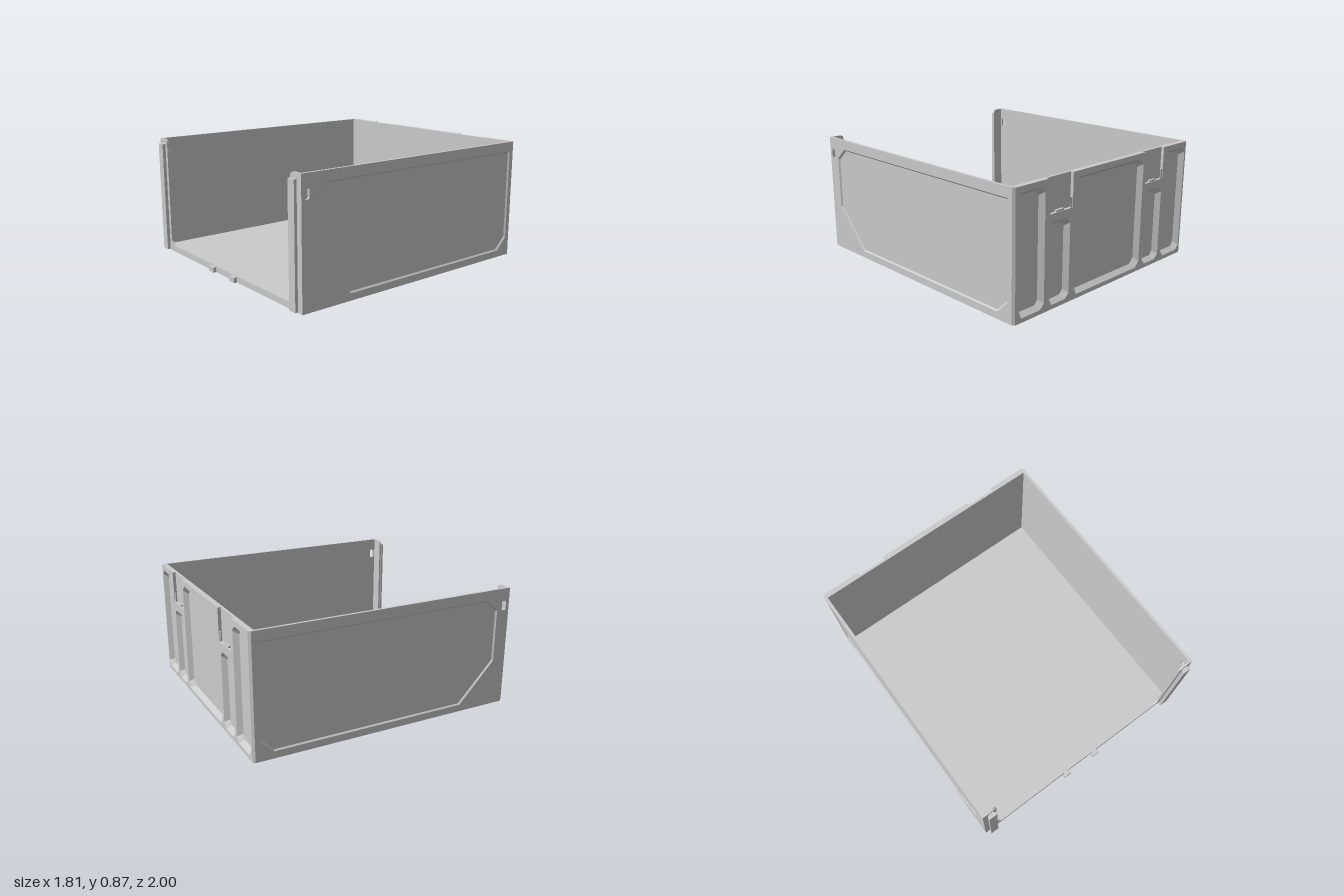
import * as THREE from 'three';

const W = 0.905, H = 0.87, BACK = -1, FRONT = 0.97;

export function createModel() {
  const group = new THREE.Group();
  const mat = new THREE.MeshStandardMaterial({ color: 0xcccccc, flatShading: true });
  const thinMat = new THREE.MeshStandardMaterial({ color: 0xcccccc, flatShading: true, side: THREE.DoubleSide });

  const add = (name, geo, x = 0, y = 0, z = 0, m = mat) => {
    const mesh = new THREE.Mesh(geo, m);
    mesh.name = name;
    mesh.position.set(x, y, z);
    group.add(mesh);
    return mesh;
  };
  // box given by its limits
  const block = (name, x0, x1, y0, y1, z0, z1) =>
    add(name, new THREE.BoxGeometry(x1 - x0, y1 - y0, z1 - z0), (x0 + x1) / 2, (y0 + y1) / 2, (z0 + z1) / 2);
  const vec = (pts) => pts.map(([x, y]) => new THREE.Vector2(x, y));
  const extrude = (pts, depth, holes = []) => {
    const shape = new THREE.Shape(vec(pts));
    holes.forEach((h) => shape.holes.push(new THREE.Path(vec(h))));
    return new THREE.ExtrudeGeometry(shape, { depth, bevelEnabled: false });
  };
  // rectangle with cut corners
  const cutRect = (x0, x1, y0, y1, c) => [
    [x0 + c, y0], [x1 - c, y0], [x1, y0 + c], [x1, y1 - c],
    [x1 - c, y1], [x0 + c, y1], [x0, y1 - c], [x0, y0 + c],
  ];
  // outline shrunk by s on every side
  const inset = (pts, s) => {
    const box = new THREE.Box2().setFromPoints(vec(pts));
    const c = box.getCenter(new THREE.Vector2()), d = box.getSize(new THREE.Vector2());
    return pts.map(([x, y]) => [
      c.x + (x - c.x) * (1 - (2 * s) / d.x),
      c.y + (y - c.y) * (1 - (2 * s) / d.y),
    ]);
  };
  // sloping walls of a recess between the rim (z0) and its floor (z1)
  const slopes = (pts, s, z0, z1) => {
    const inner = inset(pts, s), pos = [];
    pts.forEach((a, i) => {
      const j = (i + 1) % pts.length;
      const A = [...a, z0], B = [...pts[j], z0], C = [...inner[j], z1], D = [...inner[i], z1];
      pos.push(...A, ...C, ...B, ...A, ...D, ...C);
    });
    const g = new THREE.BufferGeometry();
    g.setAttribute('position', new THREE.Float32BufferAttribute(pos, 3));
    g.computeVertexNormals();
    return g;
  };
  // cross-section in x and z, standing from y0 to y1
  const upright = (name, pts, y0, y1) =>
    add(name, extrude(pts, y1 - y0).rotateX(Math.PI / 2), 0, y1, 0);

  // Floor
  block('floor', -0.895, 0.895, 0, 0.03, -0.97, 0.96);

  // Side walls: inner sheet, outer frame around a sunken panel, slot near the front
  const wall = [[-0.985, 0], [0.955, 0], [0.955, H], [-0.985, H]];
  const slot = cutRect(0.91, 0.946, 0.71, 0.78, 0.008);
  const panel = [
    [0.59, 0.05], [0.87, 0.34], [0.87, 0.72], [0.78, 0.8],
    [-0.95, 0.8], [-0.95, 0.14], [-0.86, 0.05],
  ];
  for (const s of [1, -1]) {
    const side = s > 0 ? 'left' : 'right', t = 0.01;
    const turn = (g) => g.rotateY(-Math.PI / 2);
    const xOut = s > 0 ? W : -W + t;
    add(side + 'WallFrame', turn(extrude(wall, t, [panel, slot])), xOut);
    add(side + 'WallSheet', turn(extrude(wall, t, [slot])), xOut - s * t);
    add(side + 'PanelEdge', turn(slopes(panel, 0.01, 0, s * t)), s * W, 0, 0, thinMat);
    // chamfered rear corner
    upright(side + 'RearCorner', [[s * 0.89, BACK], [s * W, -0.985], [s * 0.89, -0.985]], 0, H);
  }

  // Back wall: plain inner sheet, and an outer layer with pockets and two top notches
  const depth = 0.035, zFloor = BACK + depth;
  block('backSheet', -0.89, 0.89, 0, H, zFloor, -0.96);
  const n0 = 0.38, n1 = 0.605, nY = 0.64;
  const outline = [
    [-0.89, 0], [0.89, 0], [0.89, H], [n1, H], [n1, nY], [n0, nY], [n0, H],
    [-n0, H], [-n0, nY], [-n1, nY], [-n1, H], [-0.89, H],
  ];
  const pockets = [cutRect(-0.365, 0.365, 0.03, 0.83, 0.04)];
  for (const s of [1, -1]) {
    for (const [a, b, top] of [[0.4, 0.6, 0.58], [0.635, 0.875, 0.83]]) {
      pockets.push(cutRect(Math.min(s * a, s * b), Math.max(s * a, s * b), 0.03, top, 0.035));
    }
  }
  add('backFrame', extrude(outline, depth, pockets), 0, 0, BACK);
  pockets.forEach((p) => add('pocketSlope', slopes(p, 0.026, BACK, zFloor), 0, 0, 0, thinMat));

  // Notch floors, with guide ribs and a small catch
  for (const s of [1, -1]) {
    const c = (s * (n0 + n1)) / 2;
    block('notchFloor', c - 0.1125, c + 0.1125, nY, H, -0.978, zFloor);
    block('notchCatch', c - 0.035, c + 0.035, nY, nY + 0.012, -0.995, -0.978);
    for (const k of [1, -1]) {
      const e = c + k * 0.1125;
      upright('notchRib', [[e, -0.996], [e - k * 0.02, -0.996], [e, -0.978]], nY, nY + 0.07);
    }
  }

  // Front frame: low sill and two upright flanges
  const half = [[W, 0], [W, H], [0.82, H], [0.802, 0.862], [0.795, 0.84], [0.795, 0.075], [0.765, 0.045]];
  const mirrored = half.map(([x, y]) => [-x, y]).reverse();
  add('frontFrame', extrude([...half, ...mirrored], FRONT - 0.955), 0, 0, 0.955);

  // Dovetail rails on the flanges and short pegs on the sill
  const dovetail = (name, x, y0, y1) => upright(name, [
    [x - 0.018, FRONT], [x + 0.018, FRONT], [x + 0.032, 0.985],
    [x + 0.032, 1], [x - 0.032, 1], [x - 0.032, 0.985],
  ], y0, y1);
  for (const s of [1, -1]) {
    dovetail('frontRail', s * 0.842, 0.01, 0.835);
    dovetail('frontPeg', s * 0.138, 0.005, 0.042);
  }
  return group;
}
